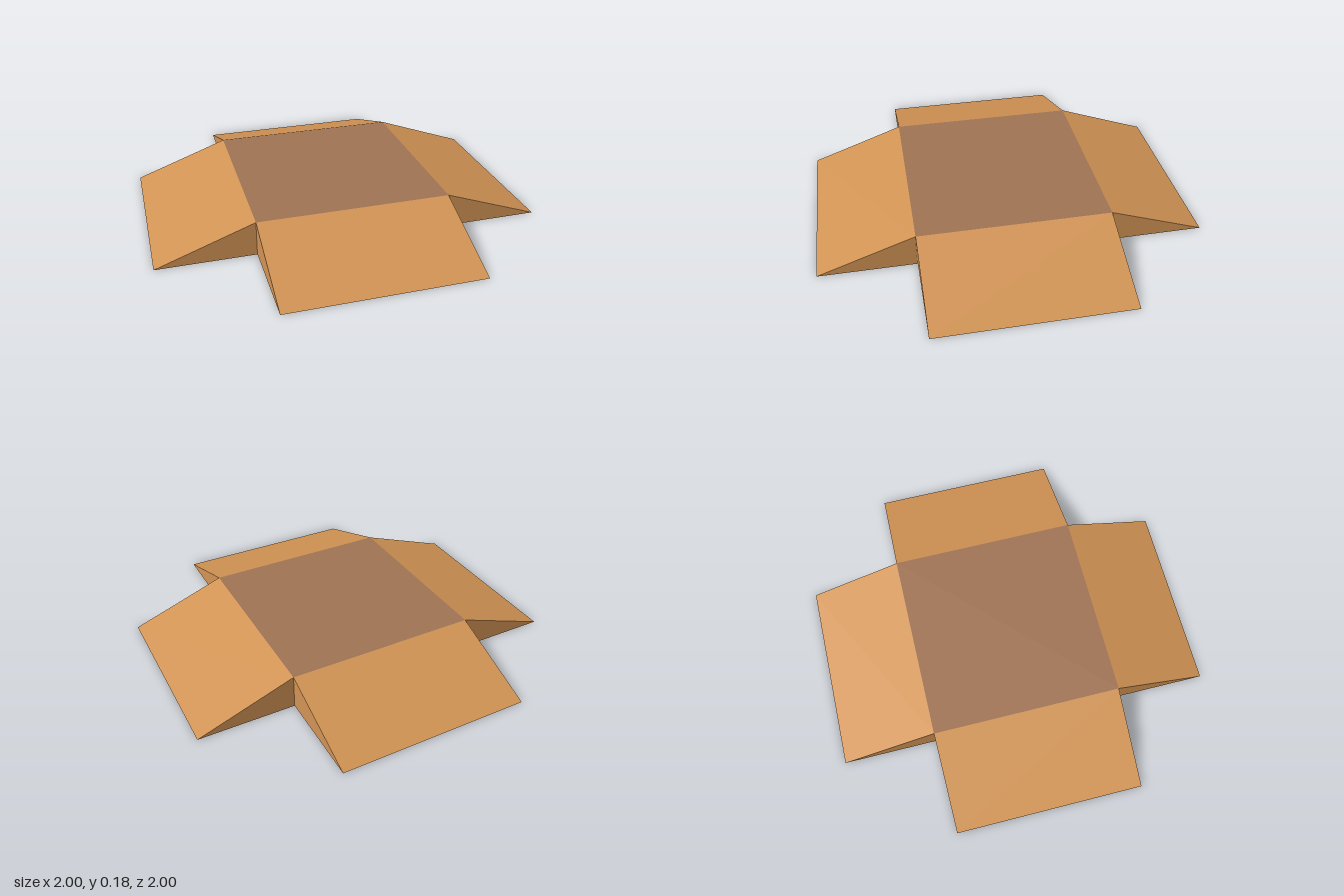
import * as THREE from 'three';

const HALF = 0.5;    // half width of the square body
const HEIGHT = 0.18;
const REACH = 1;     // distance from the centre to a flap's outer edge

// Sloping flap with a triangular gusset at each end, open underneath
function flapGeometry() {
  const triangles = [];
  const topL = [-HALF, HEIGHT, HALF], topR = [HALF, HEIGHT, HALF];
  const outL = [-HALF, 0, REACH], outR = [HALF, 0, REACH];
  const inL = [-HALF, 0, HALF], inR = [HALF, 0, HALF];
  triangles.push(outL, outR, topR, outL, topR, topL); // slope
  triangles.push(inL, outL, topL, outR, inR, topR);   // gussets
  const geometry = new THREE.BufferGeometry();
  geometry.setAttribute('position', new THREE.Float32BufferAttribute(triangles.flat(), 3));
  geometry.computeVertexNormals();
  return geometry;
}

export function createModel() {
  const model = new THREE.Group();
  model.name = 'slopedPlatform';

  const bodyBrown = new THREE.MeshStandardMaterial({ color: 0xa07354 });
  bodyBrown.name = 'bodyBrown';
  const flapTan = new THREE.MeshStandardMaterial({ color: 0xd19354, side: THREE.DoubleSide });
  flapTan.name = 'flapTan';

  // Closed central body
  const body = new THREE.Mesh(new THREE.BoxGeometry(2 * HALF, HEIGHT, 2 * HALF), bodyBrown);
  body.name = 'body';
  body.position.y = HEIGHT / 2;
  model.add(body);

  // One flap on each side
  const geometry = flapGeometry();
  ['frontFlap', 'leftFlap', 'backFlap', 'rightFlap'].forEach((name, i) => {
    const flap = new THREE.Mesh(geometry, flapTan);
    flap.name = name;
    flap.rotation.y = i * Math.PI / 2;
    model.add(flap);
  });

  return model;
}
